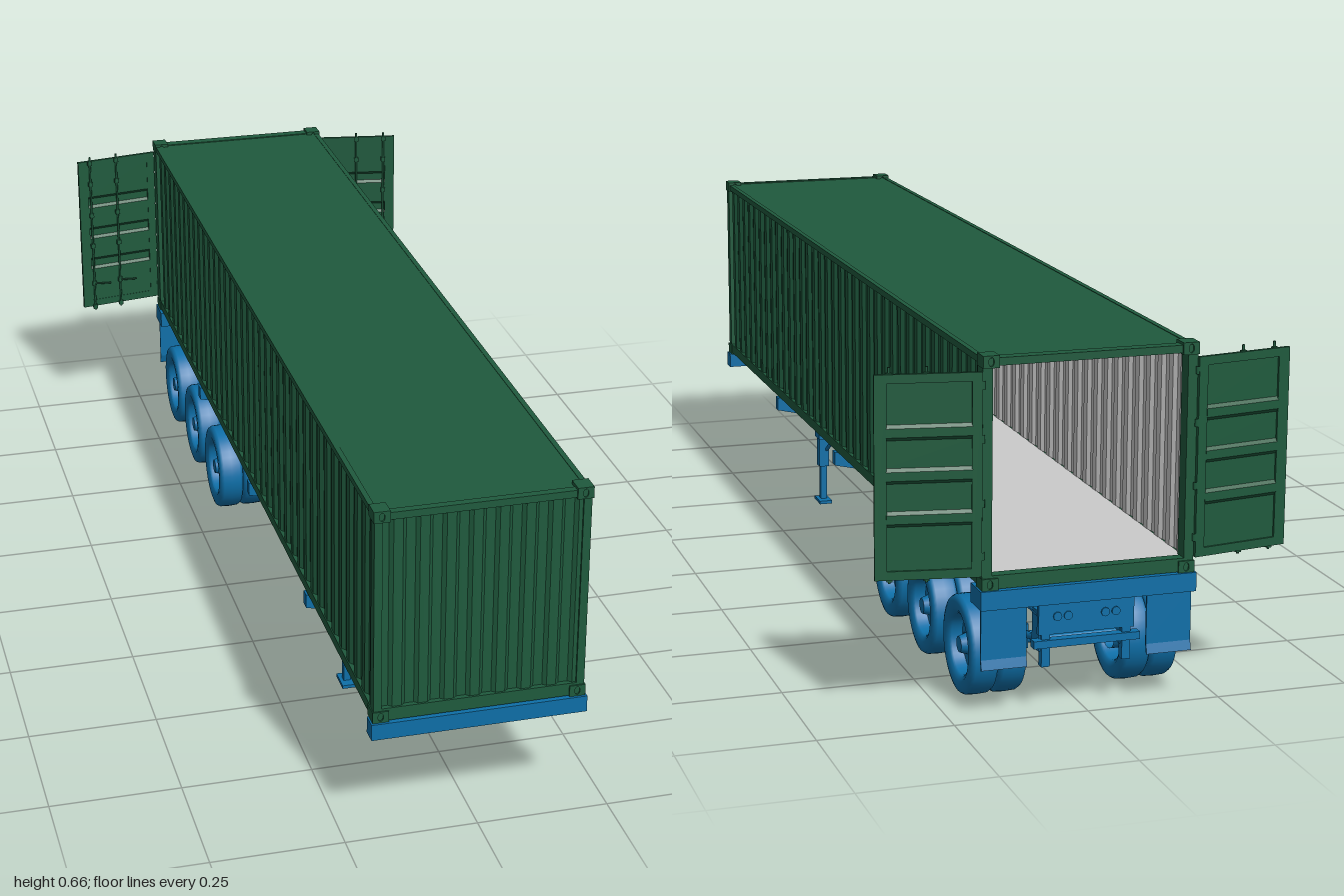
import * as THREE from 'three';

const V = (x, y, z) => new THREE.Vector3(x, y, z);
const mat = (color) => new THREE.MeshStandardMaterial({ color, side: THREE.DoubleSide });

export function createModel() {
  const root = new THREE.Group();
  const green = mat(0x1f5a3d), blue = mat(0x0e6fa8), grey = mat(0xcccccc);

  const add = (parent, name, geo, material) => {
    const m = new THREE.Mesh(geo, material);
    m.name = name;
    parent.add(m);
    return m;
  };
  const group = (name, parent = root) => {
    const g = new THREE.Group();
    g.name = name;
    parent.add(g);
    return g;
  };
  // Box given by its min and max on each axis
  const box = (parent, name, material, x0, x1, y0, y1, z0, z1) => {
    const m = add(parent, name, new THREE.BoxGeometry(Math.abs(x1 - x0), y1 - y0, z1 - z0), material);
    m.position.set((x0 + x1) / 2, (y0 + y1) / 2, (z0 + z1) / 2);
    return m;
  };
  const poly = (pts) => new THREE.Shape(pts.map((p) => new THREE.Vector2(p[0], p[1])));
  const extrude = (shape, depth) => new THREE.ExtrudeGeometry(shape, { depth, bevelEnabled: false, curveSegments: 16 });
  // Thin bent sheet following a polyline
  const sheet = (pts, t, depth) => extrude(poly([...pts, ...pts.map(([u, d]) => [u, d - t]).reverse()]), depth);
  // Trapezoid ribs along a length, the outermost level at 0
  const ribs = (length, n, depth) => {
    const p = length / n, pts = [];
    for (let i = 0; i < n; i++) {
      const u = -length / 2 + i * p;
      pts.push([u, 0], [u + p * 0.36, 0], [u + p * 0.5, -depth], [u + p * 0.86, -depth]);
    }
    pts.push([length / 2, 0]);
    return pts;
  };
  // Rod between two points
  const rod = (parent, name, a, b, r, material, seg = 10) =>
    add(parent, name, new THREE.TubeGeometry(new THREE.LineCurve3(a, b), 1, r, seg), material);

  // ---------- Container ----------
  const container = group('container');
  const wall = (name, length, n, angle, x, z) => {
    const g = group(name, container);
    const pts = ribs(length, n, 0.006);
    const outer = sheet(pts, 0.002, 0.39), inner = sheet(pts.map(([u, d]) => [u, d - 0.0022]), 0.001, 0.385);
    for (const geo of [outer, inner]) geo.rotateX(-Math.PI / 2).rotateY(angle);
    add(g, 'outerSheet', outer, green);
    add(g, 'innerSheet', inner, grey);
    g.position.set(x, 0.258, z);
  };
  wall('leftWall', 1.95, 36, -Math.PI / 2, 0.195, 0.005);
  wall('rightWall', 1.95, 36, Math.PI / 2, -0.195, 0.005);
  wall('frontWall', 0.384, 8, Math.PI, 0, 0.989);

  box(container, 'roof', green, -0.193, 0.193, 0.649, 0.653, -0.985, 0.99);
  box(container, 'ceiling', grey, -0.187, 0.187, 0.646, 0.6485, -0.975, 0.98);
  box(container, 'floorDeck', grey, -0.187, 0.187, 0.26, 0.265, -0.98, 0.98);
  box(container, 'floorUnderside', green, -0.19, 0.19, 0.256, 0.2595, -0.98, 0.985);
  for (let i = 0; i < 30; i++) {
    const z = -0.95 + i * 0.0655;
    box(container, 'floorCrossMember', green, -0.19, 0.19, 0.243, 0.256, z - 0.004, z + 0.004);
  }
  for (const s of [-1, 1]) {
    box(container, 'topSideRail', green, s * 0.187, s * 0.197, 0.642, 0.654, -0.985, 0.99);
    box(container, 'bottomSideRail', green, s * 0.188, s * 0.197, 0.243, 0.263, -0.985, 0.99);
    box(container, 'frontPost', green, s * 0.182, s * 0.197, 0.25, 0.65, 0.972, 0.993);
    box(container, 'rearPost', green, s * 0.18, s * 0.198, 0.25, 0.65, -0.992, -0.962);
  }
  for (const [z0, z1] of [[-0.992, -0.97], [0.978, 0.993]]) {
    box(container, 'endHeader', green, -0.19, 0.19, 0.641, 0.655, z0, z1);
    box(container, 'endSill', green, -0.19, 0.19, 0.241, 0.266, z0, z1);
  }
  // Corner castings with a slot in the end face
  for (const sx of [-1, 1]) for (const y of [0.2505, 0.649]) for (const z of [-0.979, 0.979]) {
    const s = poly([[-0.015, -0.011], [0.015, -0.011], [0.015, 0.011], [-0.015, 0.011]]);
    const slot = new THREE.Path();
    slot.absellipse(0, 0, 0.005, 0.008, 0, Math.PI * 2);
    s.holes.push(slot);
    add(container, 'cornerCasting', extrude(s, 0.034), green).position.set(sx * 0.184, y, z - 0.017);
  }

  // ---------- Open doors ----------
  for (const s of [-1, 1]) {
    const door = group(s > 0 ? 'leftDoor' : 'rightDoor');
    door.position.set(s * 0.199, 0.267, -0.993);
    door.rotation.y = -0.165 * s;
    const profile = [[0.015, 0]];
    for (const y of [0.095, 0.172, 0.249]) profile.push([y, 0], [y + 0.006, -0.005], [y + 0.022, -0.005], [y + 0.028, 0]);
    profile.push([0.352, 0]);
    const panel = sheet(profile, 0.002, 0.15);
    panel.applyMatrix4(new THREE.Matrix4().makeBasis(V(0, 1, 0), V(0, 0, 1), V(1, 0, 0)));
    add(door, 'doorPanel', panel, green).position.set(s > 0 ? 0.017 : -0.167, 0, 0.002);
    for (const [a, b] of [[0, 0.018], [0.166, 0.188]]) box(door, 'doorStile', green, s * a, s * b, 0, 0.366, -0.004, 0.003);
    for (const y of [0, 0.35]) box(door, 'doorRail', green, s * 0.017, s * 0.167, y, y + 0.016, -0.004, 0.003);
    for (const x of [0.096, 0.161]) {
      rod(door, 'lockRod', V(s * x, -0.008, 0.006), V(s * x, 0.377, 0.006), 0.0025, green, 8);
      for (const y of [0, 0.06, 0.155, 0.232, 0.31, 0.362])
        box(door, 'rodBracket', green, s * (x - 0.005), s * (x + 0.005), y - 0.005, y + 0.005, 0.002, 0.009);
      rod(door, 'lockHandle', V(s * x, 0.06, 0.009), V(s * (x - 0.04), 0.056, 0.009), 0.002, green, 6);
    }
    for (const y of [0.03, 0.125, 0.24, 0.335])
      rod(door, 'hinge', V(-s * 0.001, y, 0), V(-s * 0.001, y + 0.014, 0), 0.004, green, 8);
  }

  // ---------- Chassis ----------
  const chassis = group('chassis');
  const toSide = (geo) => geo.rotateY(-Math.PI / 2); // profile x becomes z
  for (const s of [-1, 1]) {
    const web = toSide(extrude(poly([[-0.97, 0.238], [-0.97, 0.182], [0.5, 0.182], [0.64, 0.21], [0.97, 0.21], [0.97, 0.238]]), 0.006));
    add(chassis, 'railWeb', web, blue).position.x = s * 0.076 + 0.003;
    const low = toSide(sheet([[-0.97, 0.182], [0.5, 0.182], [0.64, 0.212], [0.97, 0.212]], 0.005, 0.026));
    add(chassis, 'railLowerFlange', low, blue).position.x = s * 0.076 + 0.013;
    box(chassis, 'railUpperFlange', blue, s * 0.063, s * 0.089, 0.235, 0.241, -0.97, 0.97);
  }
  for (const z of [-0.9, -0.73, -0.5, -0.3, -0.15, 0, 0.15, 0.3, 0.5])
    box(chassis, 'crossMember', blue, -0.076, 0.076, 0.19, 0.23, z - 0.009, z + 0.009);
  for (const z of [0.64, 0.75, 0.87])
    box(chassis, 'gooseneckCrossMember', blue, -0.076, 0.076, 0.213, 0.234, z - 0.01, z + 0.01);
  // Tapered outriggers that carry the container sides
  for (const z of [-0.5, 0, 0.5]) for (const s of [-1, 1]) {
    const arm = poly([[s * 0.078, 0.184], [s * 0.2, 0.212], [s * 0.2, 0.24], [s * 0.078, 0.24]]);
    add(chassis, 'outrigger', extrude(arm, 0.02), blue).position.z = z - 0.01;
  }
  box(chassis, 'frontBolster', blue, -0.202, 0.202, 0.207, 0.239, 0.968, 1);
  box(chassis, 'rearBolster', blue, -0.202, 0.202, 0.205, 0.24, -1, -0.94);
  box(chassis, 'kingpinPlate', blue, -0.07, 0.07, 0.206, 0.212, 0.75, 0.9);
  rod(chassis, 'kingpin', V(0, 0.19, 0.83), V(0, 0.208, 0.83), 0.007, blue, 16);
  add(chassis, 'kingpinFlange', new THREE.CylinderGeometry(0.01, 0.01, 0.004, 16), blue).position.set(0, 0.192, 0.83);
  // Rear plate, lamps, underrun bar and mudflaps
  box(chassis, 'rearPlate', blue, -0.09, 0.09, 0.145, 0.206, -0.985, -0.975);
  box(chassis, 'underrunBar', blue, -0.1, 0.1, 0.122, 0.136, -0.99, -0.972);
  for (const s of [-1, 1]) {
    box(chassis, 'underrunPost', blue, s * 0.068, s * 0.084, 0.085, 0.205, -0.984, -0.968);
    for (const x of [0.035, 0.055]) {
      const lamp = add(chassis, 'rearLamp', new THREE.CylinderGeometry(0.008, 0.008, 0.004, 16), blue);
      lamp.rotation.x = Math.PI / 2;
      lamp.position.set(s * x, 0.178, -0.986);
    }
    const flap = toSide(sheet([[-0.985, 0.206], [-0.985, 0.11], [-0.978, 0.092]].map(([z, y]) => [z, y]), 0.0001, 0.08));
    flap.dispose();
    const strip = poly([[-0.987, 0.207], [-0.987, 0.11], [-0.992, 0.092], [-0.988, 0.091], [-0.983, 0.11], [-0.983, 0.207]]);
    add(chassis, 'mudflap', toSide(extrude(strip, 0.085)), blue).position.x = s > 0 ? 0.198 : -0.113;
  }

  // ---------- Landing gear ----------
  const gear = group('landingGear');
  for (const s of [-1, 1]) {
    box(gear, 'legMount', blue, s * 0.085, s * 0.118, 0.15, 0.215, 0.437, 0.473);
    box(gear, 'legTube', blue, s * 0.094, s * 0.116, 0.085, 0.2, 0.443, 0.467);
    box(gear, 'legInner', blue, s * 0.098, s * 0.112, 0.008, 0.09, 0.448, 0.462);
    box(gear, 'footPad', blue, s * 0.091, s * 0.119, 0, 0.007, 0.43, 0.48);
    rod(gear, 'legBrace', V(s * 0.1, 0.12, 0.45), V(s * 0.082, 0.185, 0.37), 0.004, blue, 8);
  }
  rod(gear, 'driveShaft', V(-0.1, 0.185, 0.455), V(0.1, 0.185, 0.455), 0.004, blue, 8);

  // ---------- Running gear ----------
  const tyreGeo = new THREE.LatheGeometry([
    [0.06, -0.022], [0.068, -0.026], [0.08, -0.0265], [0.088, -0.024], [0.0915, -0.018], [0.0925, 0],
    [0.0915, 0.018], [0.088, 0.024], [0.08, 0.0265], [0.068, 0.026], [0.06, 0.022], [0.056, 0.018],
    [0.054, 0], [0.056, -0.018], [0.06, -0.022]].map((p) => new THREE.Vector2(...p)), 40).rotateZ(-Math.PI / 2);
  const disc = new THREE.Shape().absarc(0, 0, 0.055, 0, Math.PI * 2);
  for (let i = 0; i < 10; i++) {
    const a = (i / 10) * Math.PI * 2;
    disc.holes.push(new THREE.Path().absarc(Math.cos(a) * 0.042, Math.sin(a) * 0.042, 0.007, 0, Math.PI * 2));
  }
  const discGeo = extrude(disc, 0.004).rotateY(Math.PI / 2);
  const spring = (z) => new THREE.TubeGeometry(
    new THREE.QuadraticBezierCurve3(V(0, 0.13, z - 0.1), V(0, 0.09, z), V(0, 0.13, z + 0.1)), 10, 0.007, 8);

  for (const z of [-0.845, -0.613, -0.382]) {
    const axle = group('axle');
    rod(axle, 'axleBeam', V(-0.17, 0.095, z), V(0.17, 0.095, z), 0.011, blue, 16);
    for (const s of [-1, 1]) {
      for (const [x, offset] of [[0.118, 0.012], [0.171, -0.004]]) {
        add(axle, 'tyre', tyreGeo, blue).position.set(s * x, 0.0935, z);
        add(axle, 'wheelDisc', discGeo, blue).position.set(s * (x + offset) - 0.002, 0.0935, z);
      }
      rod(axle, 'brakeDrum', V(s * 0.094, 0.0935, z), V(s * 0.125, 0.0935, z), 0.035, blue, 24);
      const hub = add(axle, 'hub', new THREE.CylinderGeometry(0.015, 0.024, 0.028, 20), blue);
      hub.rotation.z = -s * Math.PI / 2;
      hub.position.set(s * 0.179, 0.0935, z);
      for (let i = 0; i < 10; i++) {
        const a = ((i + 0.5) / 10) * Math.PI * 2;
        const nut = add(axle, 'wheelNut', new THREE.CylinderGeometry(0.0025, 0.0025, 0.008, 6), blue);
        nut.rotation.z = Math.PI / 2;
        nut.position.set(s * 0.171, 0.0935 + Math.sin(a) * 0.029, z + Math.cos(a) * 0.029);
      }
      add(axle, 'leafSpring', spring(z), blue).position.x = s * 0.076;
      box(axle, 'springClamp', blue, s * 0.066, s * 0.086, 0.079, 0.125, z - 0.016, z + 0.016);
    }
  }
  // Spring hangers between the axles, joined by cross tubes
  for (const z of [-0.958, -0.729, -0.497, -0.272]) {
    for (const s of [-1, 1]) box(chassis, 'springHanger', blue, s * 0.066, s * 0.087, 0.112, 0.186, z - 0.018, z + 0.018);
    rod(chassis, 'hangerCrossTube', V(-0.07, 0.129, z), V(0.07, 0.129, z), 0.006, blue, 10);
  }
  return root;
}
